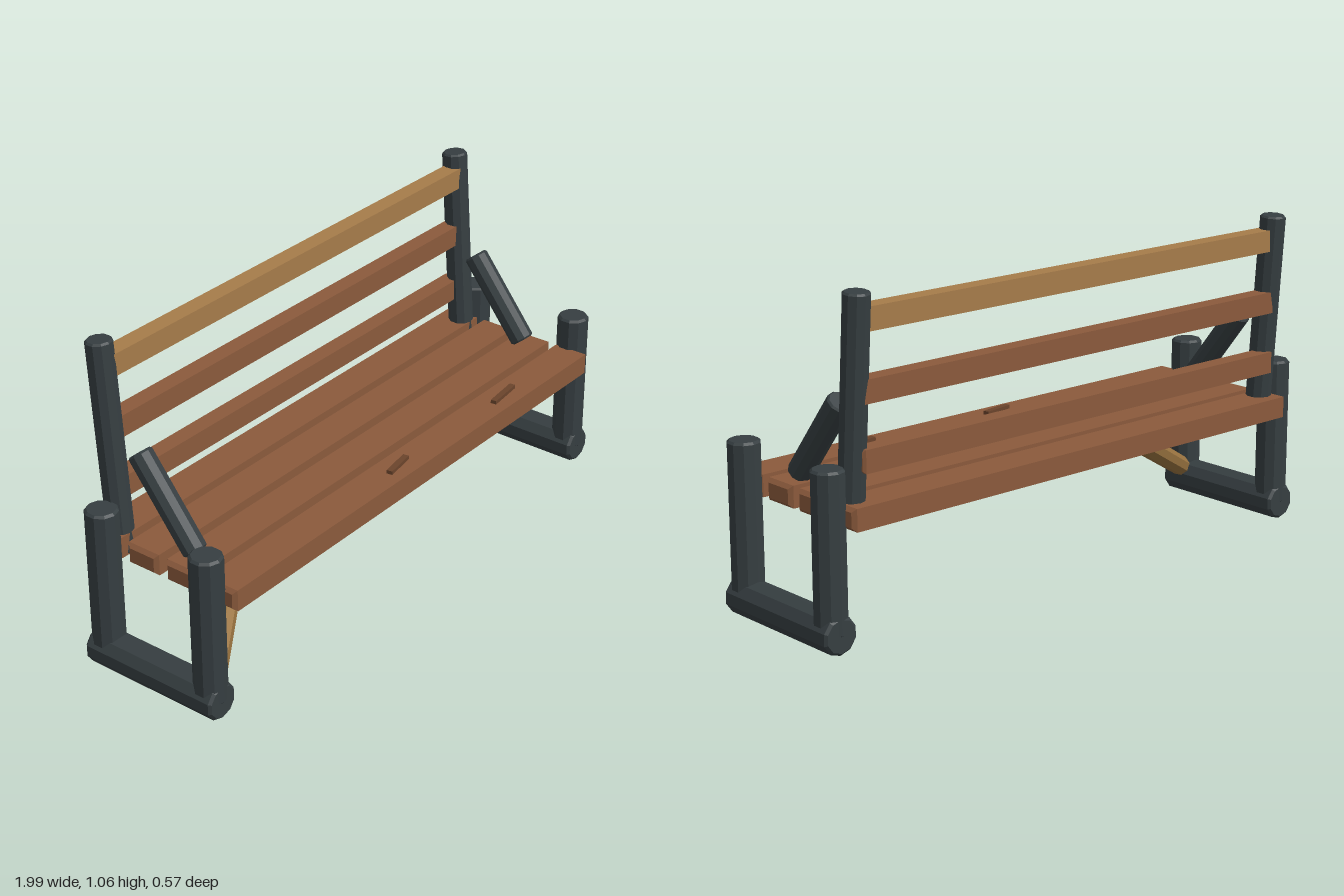
import * as THREE from 'three';

const mat = (color) => new THREE.MeshStandardMaterial({ color, flatShading: true });

// Bevelled round pole running from point a to point b
function pole(name, a, b, r, sides, material) {
  const start = new THREE.Vector3(...a), end = new THREE.Vector3(...b);
  const dir = end.clone().sub(start), len = dir.length(), c = r * 0.14;
  const profile = [[0, 0], [r - c, 0], [r, c], [r, len - c], [r - c, len], [0, len]]
    .map(([x, y]) => new THREE.Vector2(x, y));
  const mesh = new THREE.Mesh(new THREE.LatheGeometry(profile, sides), material);
  mesh.position.copy(start);
  mesh.quaternion.setFromUnitVectors(new THREE.Vector3(0, 1, 0), dir.normalize());
  mesh.name = name;
  return mesh;
}

// Chamfered plank lying along x
function plank(name, length, height, depth, bevel, material) {
  const w = depth / 2 - bevel, h = height / 2 - bevel;
  const shape = new THREE.Shape([[-w, -h], [w, -h], [w, h], [-w, h]].map((p) => new THREE.Vector2(...p)));
  const geo = new THREE.ExtrudeGeometry(shape, {
    depth: length - 2 * bevel, bevelEnabled: true, bevelThickness: bevel, bevelSize: bevel, bevelSegments: 1,
  });
  geo.translate(0, 0, bevel - length / 2);
  geo.rotateY(Math.PI / 2);
  const mesh = new THREE.Mesh(geo, material);
  mesh.name = name;
  return mesh;
}

export function createModel() {
  const bench = new THREE.Group();
  bench.name = 'bench';
  const metal = mat(0x363e41), wood = mat(0x8b5a3c), paleWood = mat(0xa67c4a);
  const braceWood = mat(0x9a7440), darkWood = mat(0x6b442c);

  // End frames: ground rail, two legs, leaning back post and slanted arm
  for (const s of [1, -1]) {
    const frame = new THREE.Group();
    frame.name = s > 0 ? 'leftFrame' : 'rightFrame';
    const x = s * 0.94;
    frame.add(
      pole('groundRail', [x, 0.06, -0.245], [x, 0.06, 0.252], 0.06, 10, metal),
      pole('frontLeg', [x, 0.055, 0.206], [x, 0.551, 0.206], 0.052, 10, metal),
      pole('rearLeg', [x, 0.055, -0.196], [x, 0.551, -0.196], 0.052, 10, metal),
      pole('backPost', [s * 0.861, 0.37, -0.196], [s * 0.861, 1.056, -0.244], 0.042, 10, metal),
      pole('arm', [s * 0.837, 0.456, 0.074], [s * 0.837, 0.715, -0.13], 0.04, 10, metal),
    );
    bench.add(frame);
  }

  // Seat slats
  for (const z of [0.228, 0.079, -0.071, -0.219]) {
    const slat = plank('seatSlat', 1.826, 0.07, 0.118, 0.012, wood);
    slat.position.set(0, 0.407, z);
    bench.add(slat);
  }

  // Back slats, the top one paler
  [0.565, 0.768, 0.975].forEach((y, i) => {
    const slat = plank('backSlat', 1.72, 0.071, 0.057, 0.008, i === 2 ? paleWood : wood);
    slat.position.set(0, y, -0.233);
    bench.add(slat);
  });

  // Single diagonal brace under the seat
  bench.add(pole('diagonalBrace', [-0.93, 0.085, 0.205], [-0.37, 0.357, -0.135], 0.035, 8, braceWood));

  // Raised splinters on the front slat
  for (const [x, length, turn] of [[-0.075, 0.11, 0.16], [0.495, 0.13, 0.11]]) {
    const splinter = new THREE.Mesh(new THREE.BoxGeometry(length, 0.014, 0.02), darkWood);
    splinter.name = 'splinter';
    splinter.position.set(x, 0.447, 0.23);
    splinter.rotation.y = turn;
    bench.add(splinter);
  }
  return bench;
}
